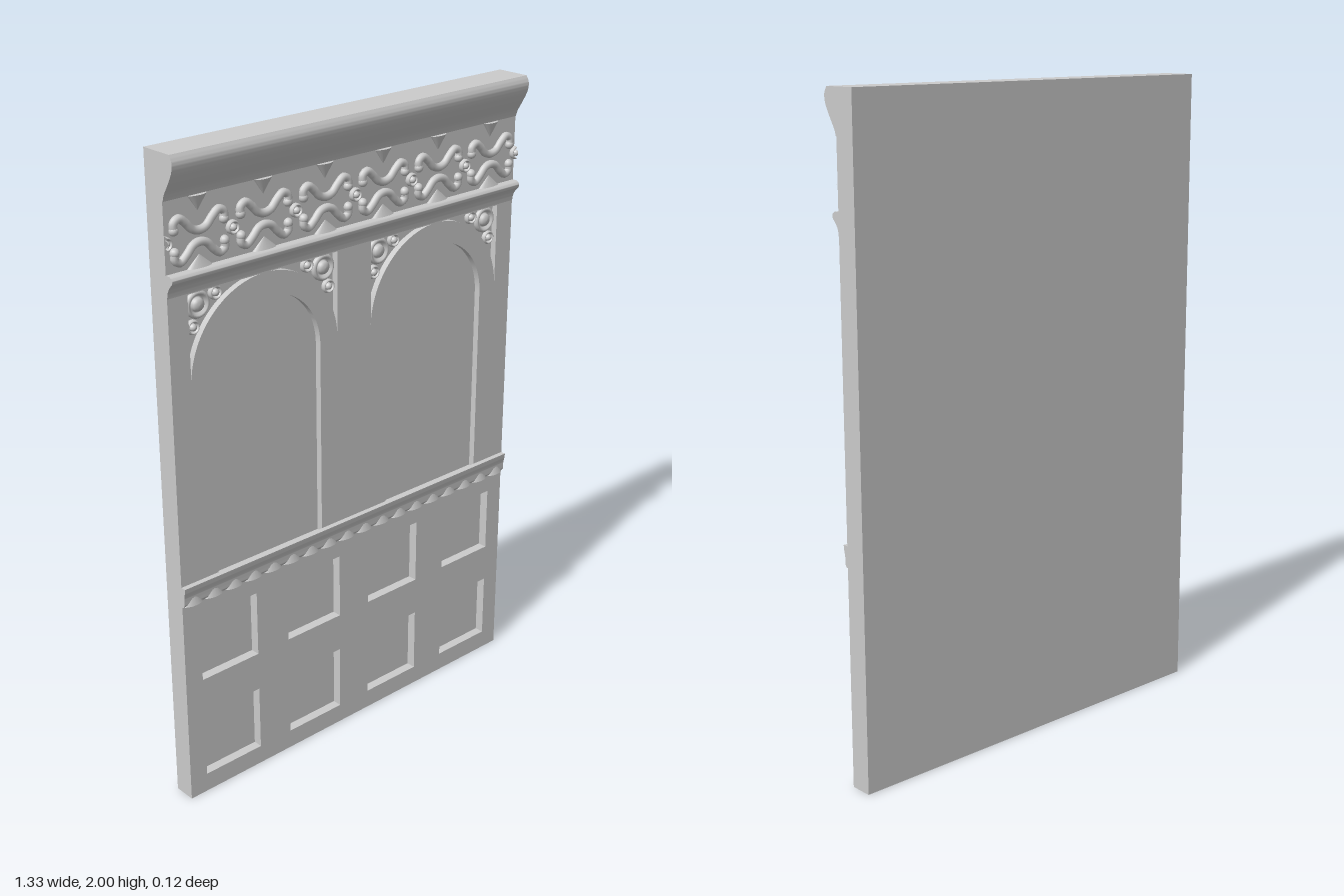
import * as THREE from 'three';
import { toCreasedNormals } from 'three/addons/utils/BufferGeometryUtils.js';

const W = 0.667, BACK = -0.06, FACE = 0.01, FRIEZE_Y = 1.757;
const grey = new THREE.MeshStandardMaterial({ color: 0xcccccc });

function add(parent, name, geometry, x = 0, y = 0, z = 0) {
  const mesh = new THREE.Mesh(geometry, grey);
  mesh.name = name;
  mesh.position.set(x, y, z);
  parent.add(mesh);
  return mesh;
}

function rectangle(x0, y0, x1, y1) {
  return new THREE.Shape([[x0, y0], [x1, y0], [x1, y1], [x0, y1]].map(p => new THREE.Vector2(...p)));
}

// A zone of the wall: solid backing and a pierced front plate
function wallZone(parent, name, y0, y1, depth, holes) {
  const thick = FACE - depth - BACK;
  add(parent, name + 'Backing', new THREE.BoxGeometry(2 * W, y1 - y0, thick), 0, (y0 + y1) / 2, BACK + thick / 2);
  const plate = rectangle(-W, y0, W, y1);
  plate.holes.push(...holes);
  const geo = new THREE.ExtrudeGeometry(plate, { depth, bevelEnabled: false, curveSegments: 32 });
  add(parent, name + 'Plate', toCreasedNormals(geo, 0.5), 0, 0, FACE - depth);
}

// A moulding running the full width; points are [z, y]
function moulding(parent, name, curve, y0, y1) {
  const pts = new THREE.SplineCurve(curve.map(p => new THREE.Vector2(...p))).getPoints(24);
  const profile = new THREE.Shape([new THREE.Vector2(FACE, y0), ...pts, new THREE.Vector2(FACE, y1)]);
  const geo = new THREE.ExtrudeGeometry(profile, { depth: 2 * W, bevelEnabled: false });
  geo.rotateY(-Math.PI / 2).translate(W, 0, 0);
  add(parent, name, toCreasedNormals(geo, 0.6));
}

// Round boss: a ring around a dome, whole or half
function bossGeometry(r, h, start = 0, sweep = Math.PI * 2) {
  const profile = [[1, 0], [1, 0.45], [0.9, 0.7], [0.75, 0.7], [0.62, 0.25], [0.5, 0.25], [0.46, 0.7], [0.25, 0.95], [0, 1]];
  const pts = profile.map(([a, b]) => new THREE.Vector2(a * r, b * h));
  return new THREE.LatheGeometry(pts, 24, start, sweep).rotateX(Math.PI / 2);
}

// Flattened leaf, point up or down
function leaf(parent, name, x, y, halfWidth, height, depth, up) {
  const mesh = add(parent, name, new THREE.ConeGeometry(halfWidth, height, 16), x, y, FACE);
  mesh.scale.z = depth / halfWidth;
  if (!up) mesh.rotation.z = Math.PI;
}

export function createModel() {
  const model = new THREE.Group();
  model.name = 'wallPanel';

  // Lower zone with two rows of square recesses
  const squares = [];
  for (const y of [0.167, 0.504])
    for (const x of [-0.5, -0.167, 0.167, 0.5])
      squares.push(rectangle(x - 0.106, y - 0.106, x + 0.106, y + 0.106));
  wallZone(model, 'dado', 0, 0.7, 0.03, squares);

  // Upper zone with arched niches and sunken spandrels
  const openings = [];
  const spring = 1.335, R = 0.267;
  for (const cx of [-0.333, 0.333]) {
    const arch = new THREE.Path();
    arch.moveTo(cx - 0.2, 0.725);
    arch.lineTo(cx + 0.2, 0.725);
    arch.lineTo(cx + 0.2, spring);
    arch.absarc(cx, spring, 0.2, 0, Math.PI, false);
    arch.closePath();
    openings.push(arch);
    for (const s of [-1, 1]) {
      const pts = [new THREE.Vector2(cx + s * R, spring + R)];
      for (let i = 0; i <= 20; i++) {
        const a = THREE.MathUtils.degToRad(86 - 84 * i / 20);
        pts.push(new THREE.Vector2(cx + s * R * Math.cos(a), spring + R * Math.sin(a)));
      }
      openings.push(new THREE.Path(pts));

      // Rosettes in the spandrel
      for (const [dx, dy, r] of [[0.225, 0.226, 0.04], [0.164, 0.246, 0.021], [0.244, 0.165, 0.021]])
        add(model, 'spandrelRosette', bossGeometry(r, 0.018), cx + s * dx, spring + dy, FACE - 0.02);
    }
  }
  wallZone(model, 'arcade', 0.7, 2, 0.02, openings);

  // Horizontal mouldings
  moulding(model, 'crownMoulding', [[0.012, 1.87], [0.019, 1.89], [0.04, 1.925], [0.055, 1.955], [0.058, 1.98], [0.048, 2]], 1.87, 2);
  moulding(model, 'friezeSill', [[0.011, 1.605], [0.015, 1.625], [0.026, 1.642], [0.036, 1.653], [0.036, 1.664], [0.026, 1.671]], 1.605, 1.671);
  moulding(model, 'dadoRail', [[0.014, 0.67], [0.02, 0.678], [0.021, 0.7], [0.025, 0.72], [0.027, 0.735]], 0.67, 0.735);

  // Row of pointed leaves along the rail
  const teeth = 18;
  for (let i = 0; i < teeth; i++)
    leaf(model, 'railLeaf', -W + (i + 0.5) * 2 * W / teeth, 0.702, 0.036, 0.062, 0.018, true);

  // Frieze: paired wavy scrolls between leaves, with bosses at the joints
  const step = 2 * W / 6;
  const wave = [[-0.083, 0.03], [-0.083, 0.05], [-0.066, 0.06], [-0.045, 0.045], [-0.022, 0.022], [0, 0.016],
    [0.022, 0.022], [0.045, 0.045], [0.066, 0.06], [0.083, 0.05], [0.083, 0.03]];
  for (let i = 0; i < 6; i++) {
    const x = -W + (i + 0.5) * step;
    for (const s of [-1, 1]) {
      const path = new THREE.CatmullRomCurve3(wave.map(([a, b]) => new THREE.Vector3(a, s * b, 0)));
      const scroll = add(model, 'friezeScroll', new THREE.TubeGeometry(path, 48, 0.012, 10), x, FRIEZE_Y, 0.014);
      for (const e of [-1, 1])
        add(scroll, 'scrollEnd', new THREE.SphereGeometry(0.014, 14, 10), e * 0.083, s * 0.03, 0);
    }
    leaf(model, 'upperLeaf', x, 1.847, 0.031, 0.044, 0.014, false);
    leaf(model, 'lowerLeaf', x, 1.688, 0.043, 0.036, 0.014, true);
  }
  for (let i = 0; i <= 6; i++) {
    const end = i === 0 || i === 6;
    const geo = bossGeometry(0.02, 0.018, i === 6 ? Math.PI : 0, end ? Math.PI : Math.PI * 2);
    add(model, 'friezeBoss', geo, -W + i * step, FRIEZE_Y, FACE);
  }
  return model;
}
